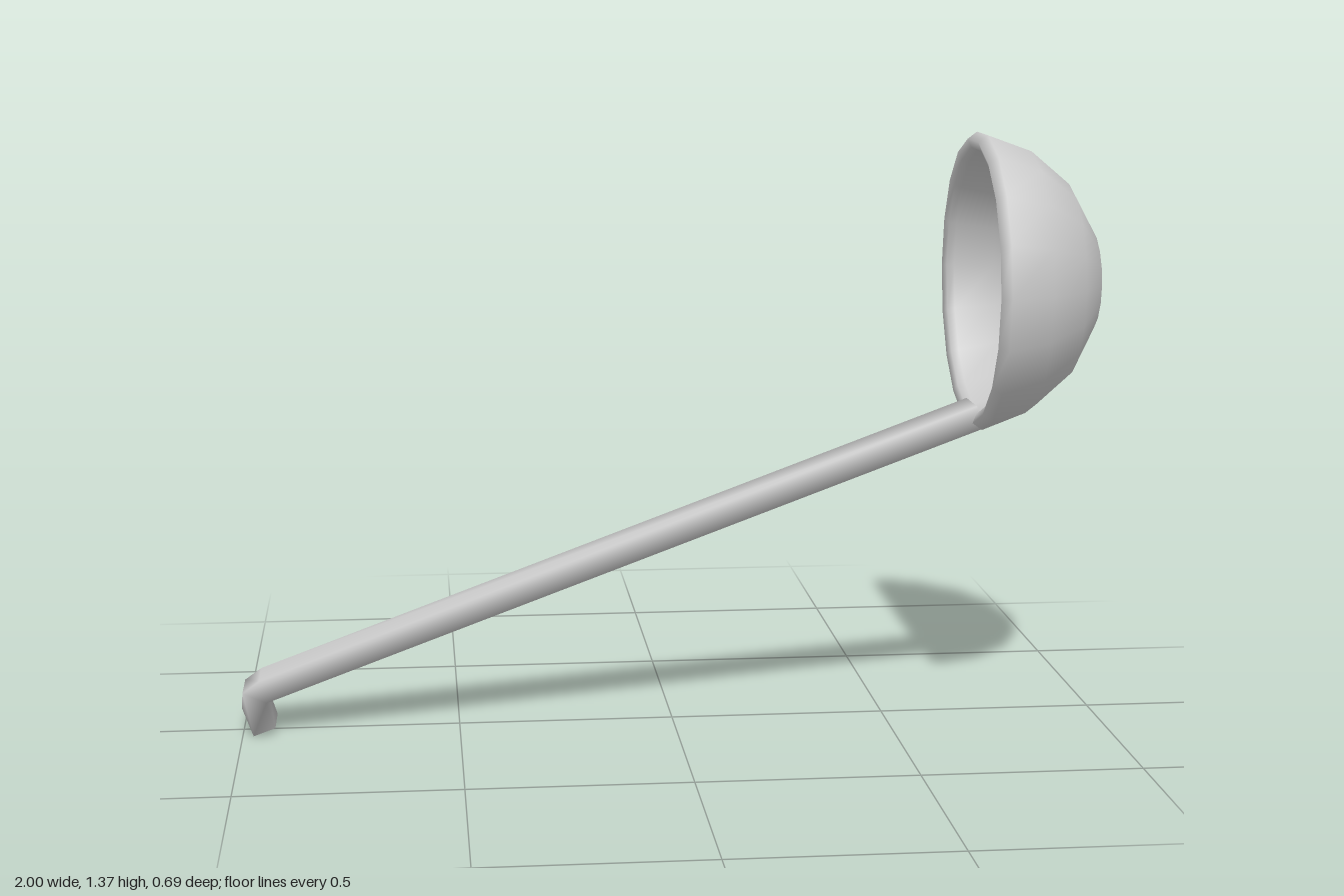
import * as THREE from 'three';
import { mergeVertices } from 'three/addons/utils/BufferGeometryUtils.js';

const points = (list) => list.map(([a, b]) => new THREE.Vector2(a, b));

export function createModel() {
  const group = new THREE.Group();
  group.name = 'ladle';
  const material = new THREE.MeshStandardMaterial({ color: 0xcccccc });

  // Bowl: [radius, distance along x], from the inside centre over the rim to the outside centre
  const profile = points([
    [0, 0.97], [0.11, 0.945], [0.21, 0.89], [0.275, 0.81], [0.305, 0.72],
    [0.31, 0.703], [0.33, 0.695], [0.346, 0.717],
    [0.308, 0.82], [0.23, 0.913], [0.12, 0.976], [0, 1],
  ]);
  const bowl = new THREE.Mesh(new THREE.LatheGeometry(profile, 18), material);
  bowl.name = 'bowl';
  bowl.rotation.z = -Math.PI / 2;
  bowl.position.y = 1.03;
  group.add(bowl);

  // Handle: flat bar with a short hook, drawn from the side and extruded across its width
  const side = new THREE.Shape(points([
    [-0.975, 0.002], [-0.925, 0.02], [-0.944, 0.08],
    [0.72, 0.692], [0.705, 0.745],
    [-0.96, 0.132], [-0.998, 0.105], [-1, 0.07],
  ]));
  const width = 0.118;
  let bar = new THREE.ExtrudeGeometry(side, { depth: width, bevelEnabled: false });
  bar.translate(0, 0, -width / 2);
  // Shared corners give the bar its soft shading
  bar.deleteAttribute('normal');
  bar.deleteAttribute('uv');
  bar = mergeVertices(bar);
  bar.computeVertexNormals();
  const handle = new THREE.Mesh(bar, material);
  handle.name = 'handle';
  group.add(handle);

  return group;
}
